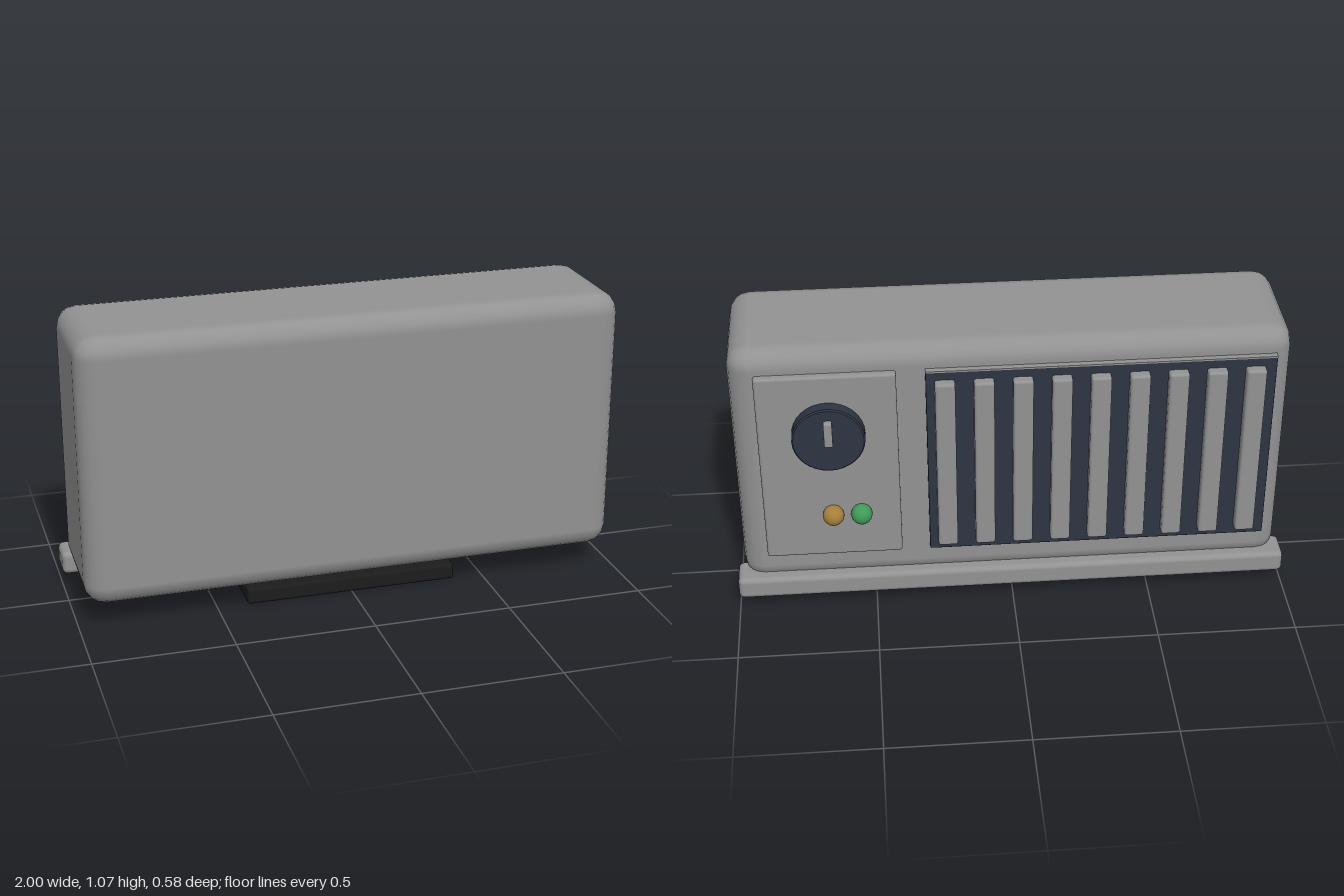
import * as THREE from 'three';
import { RoundedBoxGeometry } from 'three/addons/geometries/RoundedBoxGeometry.js';

const material = (name, color) => {
  const m = new THREE.MeshStandardMaterial({ color });
  m.name = name;
  return m;
};

export function createModel() {
  const group = new THREE.Group();
  const grey = material('casing grey', 0x929292);
  const navy = material('dark slate', 0x2d3542);
  const black = material('rubber black', 0x1c1c1c);
  const amber = material('amber lamp', 0xa5803a);
  const green = material('green lamp', 0x3f9a58);

  const add = (name, geometry, mat, x, y, z) => {
    const mesh = new THREE.Mesh(geometry, mat);
    mesh.name = name;
    mesh.position.set(x, y, z);
    group.add(mesh);
    return mesh;
  };

  // Rounded box given by its limits on each axis
  const block = (name, mat, [x0, x1], [y0, y1], [z0, z1], radius, segments = 2) =>
    add(name, new RoundedBoxGeometry(x1 - x0, y1 - y0, z1 - z0, segments, radius), mat,
      (x0 + x1) / 2, (y0 + y1) / 2, (z0 + z1) / 2);

  // Casing, lower rail and foot
  block('casing', grey, [-0.975, 0.975], [0.09, 1.065], [-0.195, 0.29], 0.075);
  block('lowerRail', grey, [-1, 1], [0.047, 0.133], [-0.234, -0.113], 0.02);
  block('foot', black, [-0.39, 0.39], [0, 0.06], [-0.076, 0.217], 0.012);

  // Control panel
  block('controlPanel', grey, [0.4, 0.885], [0.225, 0.98], [-0.221, -0.18], 0.01);

  // Grille with a thin lip along the top
  block('grilleBacking', navy, [-0.915, 0.3], [0.225, 0.976], [-0.216, -0.18], 0.004, 1);
  add('grilleLip', new THREE.BoxGeometry(1.215, 0.006, 0.036), grey, -0.3075, 0.978, -0.199);
  for (let i = 0; i < 9; i++) {
    const x = -0.84 + i * 0.1344;
    block('grilleBar', grey, [x - 0.035, x + 0.035], [0.26, 0.945], [-0.25, -0.205], 0.01);
  }

  // Dial and its pointer
  const dial = new THREE.LatheGeometry([
    [0, 0], [0.127, 0], [0.127, 0], [0.127, 0.043], [0.127, 0.043], [0.122, 0.048], [0.122, 0.048], [0, 0.048],
  ].map(([r, h]) => new THREE.Vector2(r, h)), 32);
  add('dial', dial, navy, 0.64, 0.75, -0.219).rotation.x = -Math.PI / 2;
  block('dialPointer', grey, [0.625, 0.655], [0.735, 0.833], [-0.288, -0.25], 0.006);

  // Indicator lamps
  const lamp = new THREE.SphereGeometry(0.038, 20, 14);
  add('amberLamp', lamp, amber, 0.64, 0.41, -0.235);
  add('greenLamp', lamp, green, 0.54, 0.41, -0.235);

  return group;
}
